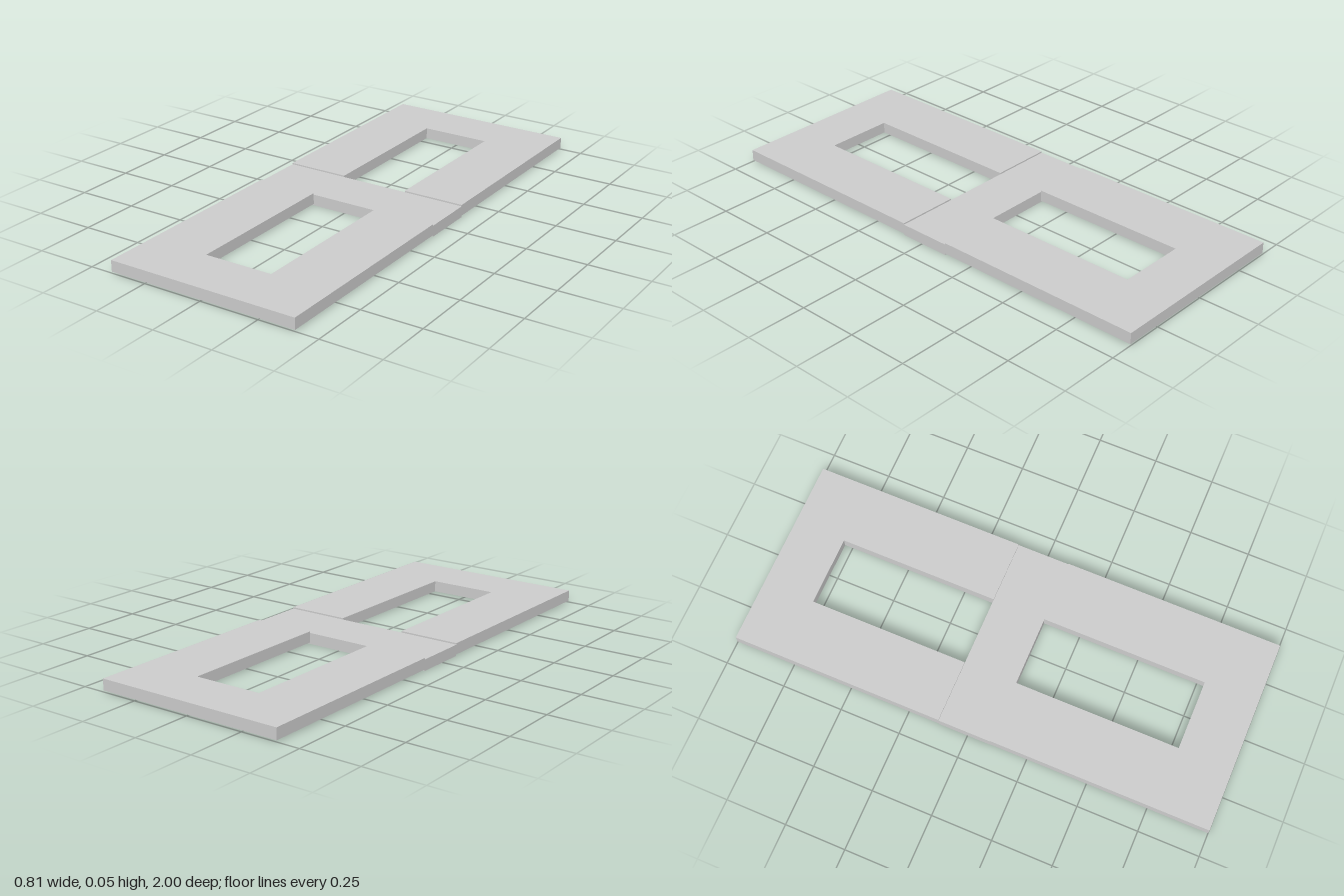
import * as THREE from 'three';

const material = new THREE.MeshStandardMaterial({ color: 0xcccccc, flatShading: true });

const HALF_W = 0.404;            // outer half width
const IN_L = -0.146, IN_R = 0.144; // opening edges in x
const BACK = -0.783, MID_BACK = -0.122, MID_FRONT = 0.097, FRONT = 0.778; // opening edges in z
const THICK = 0.046, RAISE = 0.006;

export function createModel() {
  const model = new THREE.Group();

  // Box spanning x0..x1 and z0..z1, resting at height y0
  const slab = (name, x0, x1, z0, z1, y0) => {
    const mesh = new THREE.Mesh(new THREE.BoxGeometry(x1 - x0, THICK, z1 - z0), material);
    mesh.position.set((x0 + x1) / 2, y0 + THICK / 2, (z0 + z1) / 2);
    mesh.name = name;
    model.add(mesh);
  };

  // Front half: one U-shaped frame piece, drawn in (x, -z) and laid flat
  const outline = new THREE.Shape([
    [-HALF_W, -1], [HALF_W, -1], [HALF_W, -MID_FRONT], [IN_R, -MID_FRONT],
    [IN_R, -FRONT], [IN_L, -FRONT], [IN_L, -MID_FRONT], [-HALF_W, -MID_FRONT],
  ].map(([x, y]) => new THREE.Vector2(x, y)));
  const frontGeometry = new THREE.ExtrudeGeometry(outline, { depth: THICK, bevelEnabled: false });
  frontGeometry.rotateX(-Math.PI / 2);
  const frontFrame = new THREE.Mesh(frontGeometry, material);
  frontFrame.position.y = RAISE;
  frontFrame.name = 'frontFrame';
  model.add(frontFrame);

  // Back half: two side stiles and an end rail
  slab('backRightStile', -HALF_W, IN_L, BACK, MID_BACK, RAISE);
  slab('backLeftStile', IN_R, HALF_W, BACK, MID_BACK, RAISE);
  slab('backRail', -HALF_W, HALF_W, -1, BACK, RAISE);

  // Cross rail between the openings, set slightly lower
  slab('middleRail', -HALF_W, HALF_W, MID_BACK, MID_FRONT, 0);

  return model;
}
